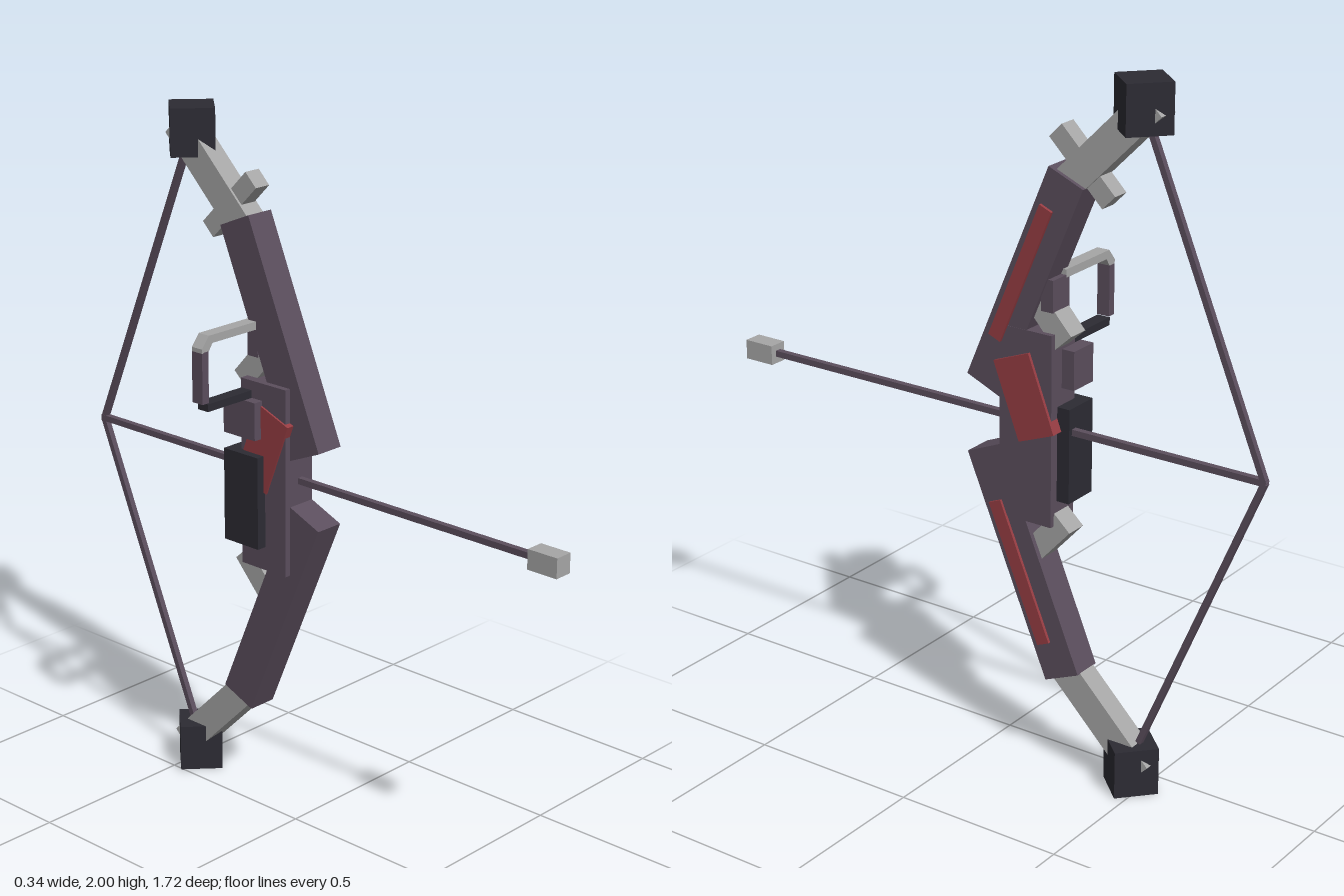
import * as THREE from 'three';

const mat = (name, color) => {
  const m = new THREE.MeshStandardMaterial({ color });
  m.name = name;
  return m;
};

export function createModel() {
  const group = new THREE.Group();
  const purple = mat('dull purple', 0x5b4e5d);
  const grey = mat('light grey', 0xa6a6a6);
  const red = mat('red', 0x973d43);
  const dark = mat('charcoal', 0x2c2b33);

  const add = (name, geometry, material) => {
    const mesh = new THREE.Mesh(geometry, material);
    mesh.name = name;
    group.add(mesh);
    return mesh;
  };

  // Box given by its extents
  const block = (name, material, [x0, x1], [y0, y1], [z0, z1]) => {
    const mesh = add(name, new THREE.BoxGeometry(x1 - x0, y1 - y0, z1 - z0), material);
    mesh.position.set((x0 + x1) / 2, (y0 + y1) / 2, (z0 + z1) / 2);
    return mesh;
  };

  // Square-cut beam in the side plane, running between two [z, y] points
  const beam = (name, material, [x0, x1], [za, ya], [zb, yb], width) => {
    const length = Math.hypot(zb - za, yb - ya);
    const mesh = add(name, new THREE.BoxGeometry(x1 - x0, length, width), material);
    mesh.position.set((x0 + x1) / 2, (ya + yb) / 2, (za + zb) / 2);
    mesh.rotation.x = Math.atan2(zb - za, yb - ya);
    return mesh;
  };

  // Riser with a red panel showing on both sides
  block('riser', purple, [0.02, 0.128], [0.73, 1.28], [-0.226, -0.057]);
  beam('riserPanel', red, [0.014, 0.137], [-0.1, 1.198], [-0.183, 0.983], 0.121);

  // Upper and lower halves, mirrored about mid height
  for (const side of [1, -1]) {
    const prefix = side > 0 ? 'upper' : 'lower';
    const at = (z, y) => [z, 1.003 + side * y];
    const limbX = [0.038, 0.127];
    beam(prefix + 'Limb', purple, limbX, at(-0.003, 0.091), at(-0.265, 0.713), 0.116);
    beam(prefix + 'LimbStripe', red, [0.12, 0.136], at(-0.045, 0.237), at(-0.208, 0.624), 0.041);
    beam(prefix + 'TipArm', grey, [0.05, 0.115], at(-0.233, 0.668), at(-0.509, 0.944), 0.09);
    beam(prefix + 'Clip', grey, [0.047, 0.113], at(-0.15, 0.37), at(-0.252, 0.258), 0.068);

    // Tip block turned corner-forward
    const cap = block(prefix + 'TipBlock', dark, [0.02, 0.144],
      side > 0 ? [1.864, 2] : [0, 0.14], [-0.53, -0.406]);
    cap.rotation.y = Math.PI / 4 + 0.04;

    // String from the tip block to the nock
    beam(prefix + 'String', purple, [0.071, 0.088], at(-0.48, 0.89), at(-0.852, 0), 0.017);
  }

  // Cross piece on the upper tip arm only
  beam('crossPiece', grey, [0.057, 0.109], [-0.22, 1.831], [-0.385, 1.666], 0.055);

  // Grip and the small housing above it
  block('grip', dark, [-0.01, 0.1], [0.8, 1.072], [-0.265, -0.135]);
  block('housing', purple, [-0.01, 0.08], [1.12, 1.23], [-0.265, -0.145]);

  // Side sight frame: grey top with a chamfered corner, purple post, dark base
  const depth = [-0.224, -0.185];
  const top = new THREE.Shape([
    [0.06, 1.445], [-0.143, 1.445], [-0.17, 1.412], [-0.17, 1.4],
    [-0.145, 1.4], [-0.13, 1.422], [0.06, 1.422],
  ].map(([x, y]) => new THREE.Vector2(x, y)));
  const topGeometry = new THREE.ExtrudeGeometry(top, { depth: depth[1] - depth[0], bevelEnabled: false });
  topGeometry.translate(0, 0, depth[0]);
  add('sightTop', topGeometry, grey);
  block('sightPost', purple, [-0.17, -0.146], [1.255, 1.402], depth);
  block('sightBase', dark, [-0.15, 0.05], [1.23, 1.252], depth);
  block('sightMount', purple, [0.045, 0.12], [1.34, 1.43], depth);

  // Arrow
  block('arrowShaft', purple, [0.07, 0.088], [0.995, 1.013], [-0.858, 0.78]);
  block('arrowHead', grey, [0.052, 0.107], [0.975, 1.032], [0.765, 0.86]);

  return group;
}
